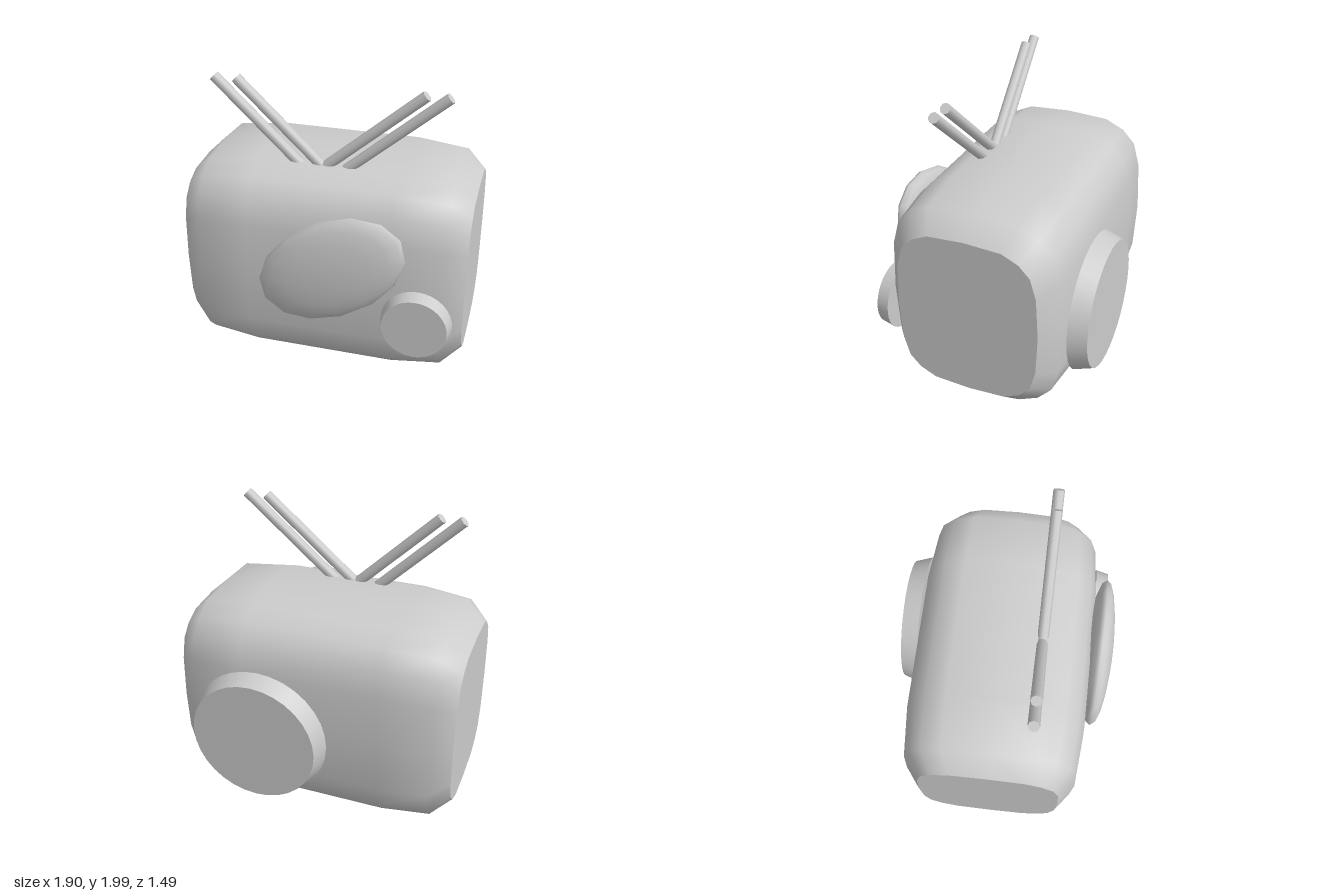
import * as THREE from 'three';

const grey = new THREE.MeshStandardMaterial({ color: 0xcccccc });
grey.name = 'plainGrey';

function part(name, geometry, x = 0, y = 0, z = 0) {
  const mesh = new THREE.Mesh(geometry, grey);
  mesh.name = name;
  mesh.position.set(x, y, z);
  return mesh;
}

// One quadrant of the rounded body section as [z, y], from top to side
const QUARTER = [[0, 1], [0.51, 0.975], [0.735, 0.885], [0.89, 0.745], [0.97, 0.5]];

// Full unit loop, running from top towards the front, down and round the back
function sectionLoop() {
  const loop = [...QUARTER, [1, 0]];
  for (let i = 4; i > 0; i--) loop.push([QUARTER[i][0], -QUARTER[i][1]]);
  loop.push([0, -1]);
  for (let i = 1; i < 5; i++) loop.push([-QUARTER[i][0], -QUARTER[i][1]]);
  loop.push([-1, 0]);
  for (let i = 4; i > 0; i--) loop.push([-QUARTER[i][0], QUARTER[i][1]]);
  return loop;
}

// Sections across the body: x, half depth, half height
const SECTIONS = [
  [-0.95, 0.48, 0.565], [-0.815, 0.583, 0.69], [-0.48, 0.612, 0.725],
  [0.48, 0.612, 0.725], [0.815, 0.583, 0.69], [0.95, 0.48, 0.565],
];

function meshFrom(positions, indices) {
  const g = new THREE.BufferGeometry();
  g.setAttribute('position', new THREE.Float32BufferAttribute(positions, 3));
  g.setIndex(indices);
  g.computeVertexNormals();
  return g;
}

function bodyShell(loop) {
  const positions = [], indices = [], n = loop.length;
  SECTIONS.forEach(([x, hz, hy], i) => {
    loop.forEach(([z, y], j) => {
      positions.push(x, y * hy, z * hz);
      if (i === SECTIONS.length - 1) return;
      const a = i * n + j, b = i * n + (j + 1) % n;
      indices.push(a, b, a + n, b, b + n, a + n);
    });
  });
  return meshFrom(positions, indices);
}

function bodyEnd(loop, [x, hz, hy]) {
  const positions = [x, 0, 0], indices = [], n = loop.length;
  loop.forEach(([z, y], j) => {
    positions.push(x, y * hy, z * hz);
    const a = j + 1, b = (j + 1) % n + 1;
    indices.push(0, ...(x > 0 ? [a, b] : [b, a]));
  });
  return meshFrom(positions, indices);
}

// Rod between two points in the antenna plane
function rod(name, x0, y0, x1, y1, z) {
  const dx = x1 - x0, dy = y1 - y0;
  const mesh = part(name, new THREE.CylinderGeometry(0.036, 0.036, Math.hypot(dx, dy), 8),
    (x0 + x1) / 2, (y0 + y1) / 2, z);
  mesh.rotation.z = Math.atan2(-dx, dy);
  return mesh;
}

export function createModel() {
  const model = new THREE.Group();
  model.name = 'television';

  // Rounded cabinet with flat ends
  const loop = sectionLoop();
  const body = new THREE.Group();
  body.name = 'cabinet';
  body.position.set(0, 0.735, -0.012);
  body.add(
    part('cabinetShell', bodyShell(loop)),
    part('leftEnd', bodyEnd(loop, SECTIONS[5])),
    part('rightEnd', bodyEnd(loop, SECTIONS[0])),
  );
  model.add(body);

  // Tilted lens-shaped screen
  const lens = new THREE.SphereGeometry(1, 14, 10).rotateX(Math.PI / 2).scale(0.53, 0.335, 0.098);
  const screen = part('screen', lens, 0.11, 0.9, 0.646);
  screen.rotation.z = 0.575;
  model.add(screen);

  // Tapered front knob and large back disc
  const knob = new THREE.CylinderGeometry(0.212, 0.232, 0.09, 32).rotateX(Math.PI / 2);
  model.add(part('frontKnob', knob, 0.668, 0.567, 0.641));
  const disc = new THREE.CylinderGeometry(0.432, 0.472, 0.122, 32).rotateX(-Math.PI / 2);
  model.add(part('backDisc', disc, 0.331, 0.645, -0.684));

  // Two pairs of antenna rods, starting slightly inside the cabinet
  for (const [x0, x1] of [[-0.165, -0.76], [-0.015, -0.612], [-0.07, 0.61], [0.075, 0.755]]) {
    model.add(rod('antennaRod', x0, 1.39, x1, 1.974, 0.245));
  }
  return model;
}
